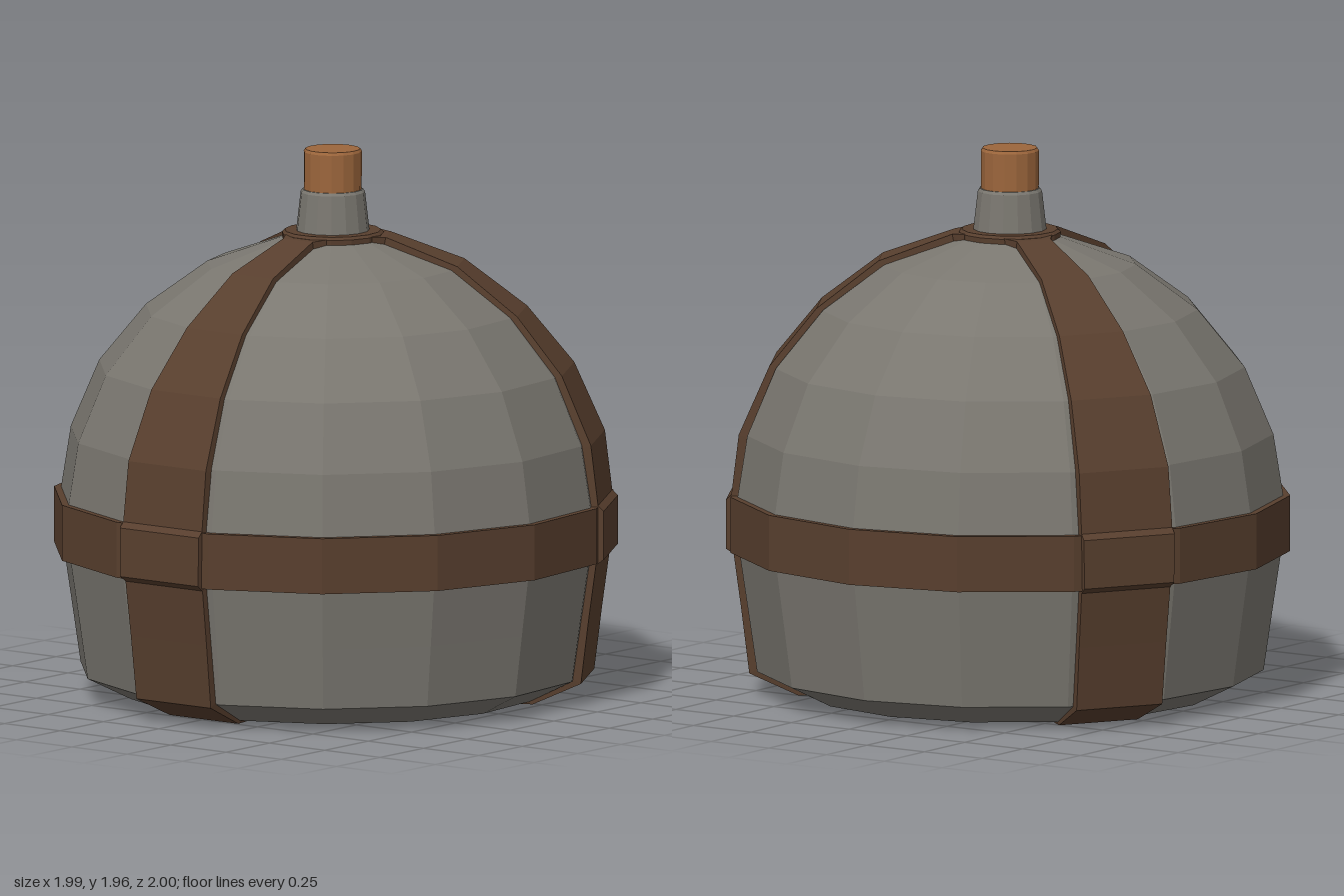
import * as THREE from 'three';

const SIDES = 15;

function material(name, color) {
  const m = new THREE.MeshStandardMaterial({ color });
  m.name = name;
  return m;
}

// Faceted solid of revolution; one corner points to the back
function turned(name, profile, sides, mat) {
  const pts = profile.map(([r, y]) => new THREE.Vector2(r, y));
  const geo = new THREE.LatheGeometry(pts, sides, Math.PI).toNonIndexed();
  geo.computeVertexNormals();
  const mesh = new THREE.Mesh(geo, mat);
  mesh.name = name;
  return mesh;
}

// Strap swept along sections of [radius, height, half width]
function strapGeometry(sections) {
  const pos = [], index = [], hubY = 0.62, sink = 0.05;
  for (const [r, y, w] of sections) {
    const ri = r * (1 - sink), yi = y + (hubY - y) * sink;
    pos.push(-w, y, r, w, y, r, w, yi, ri, -w, yi, ri);
  }
  for (let i = 0; i < sections.length - 1; i++) {
    for (let k = 0; k < 4; k++) {
      const a = i * 4 + k, b = i * 4 + (k + 1) % 4;
      index.push(a, b, b + 4, a, b + 4, a + 4);
    }
  }
  const indexed = new THREE.BufferGeometry();
  indexed.setAttribute('position', new THREE.Float32BufferAttribute(pos, 3));
  indexed.setIndex(index);
  const geo = indexed.toNonIndexed();
  geo.computeVertexNormals();
  return geo;
}

export function createModel() {
  const model = new THREE.Group();
  model.name = 'roundFlask';
  const shell = material('grey shell', 0x7a7770);
  const leather = material('brown leather', 0x583f2e);
  const cork = material('cork', 0x9c663c);

  // Domed body with a chamfered foot
  model.add(turned('body', [
    [0, 0.012], [0.745, 0.01], [0.905, 0.09], [0.937, 0.31], [0.968, 0.52], [0.975, 0.72],
    [0.94, 0.94], [0.838, 1.18], [0.67, 1.385], [0.45, 1.545], [0.18, 1.64], [0, 1.65],
  ], SIDES, shell));

  // Horizontal belt
  model.add(turned('belt', [
    [0.94, 0.52], [1, 0.52], [1, 0.72], [0.94, 0.72],
  ], SIDES, leather));

  // Three vertical straps, crossing over the belt and meeting underneath
  const strap = strapGeometry([
    [0, 0, 0.035], [0.2, 0, 0.06], [0.74, 0, 0.155], [0.915, 0.08, 0.168], [0.943, 0.31, 0.171],
    [0.97, 0.51, 0.174], [0.998, 0.53, 0.176], [0.998, 0.705, 0.178], [0.978, 0.725, 0.178],
    [0.952, 0.94, 0.175], [0.845, 1.185, 0.156], [0.68, 1.39, 0.125], [0.46, 1.56, 0.092],
    [0.2, 1.655, 0.066], [0.15, 1.66, 0.095], [0.1, 1.66, 0.09],
  ]);
  for (let i = 0; i < 3; i++) {
    const mesh = new THREE.Mesh(strap, leather);
    mesh.name = 'strap' + (i + 1);
    mesh.rotation.y = i * Math.PI * 2 / 3;
    model.add(mesh);
  }

  // Collar, neck and stopper
  model.add(turned('collar', [
    [0.18, 1.61], [0.182, 1.658], [0.172, 1.668], [0.1, 1.668],
  ], SIDES, leather));
  model.add(turned('neck', [
    [0.134, 1.64], [0.115, 1.805], [0.108, 1.815], [0, 1.815],
  ], SIDES, shell));
  model.add(turned('stopper', [
    [0.103, 1.8], [0.104, 1.95], [0.098, 1.96], [0, 1.96],
  ], SIDES, cork));

  return model;
}
